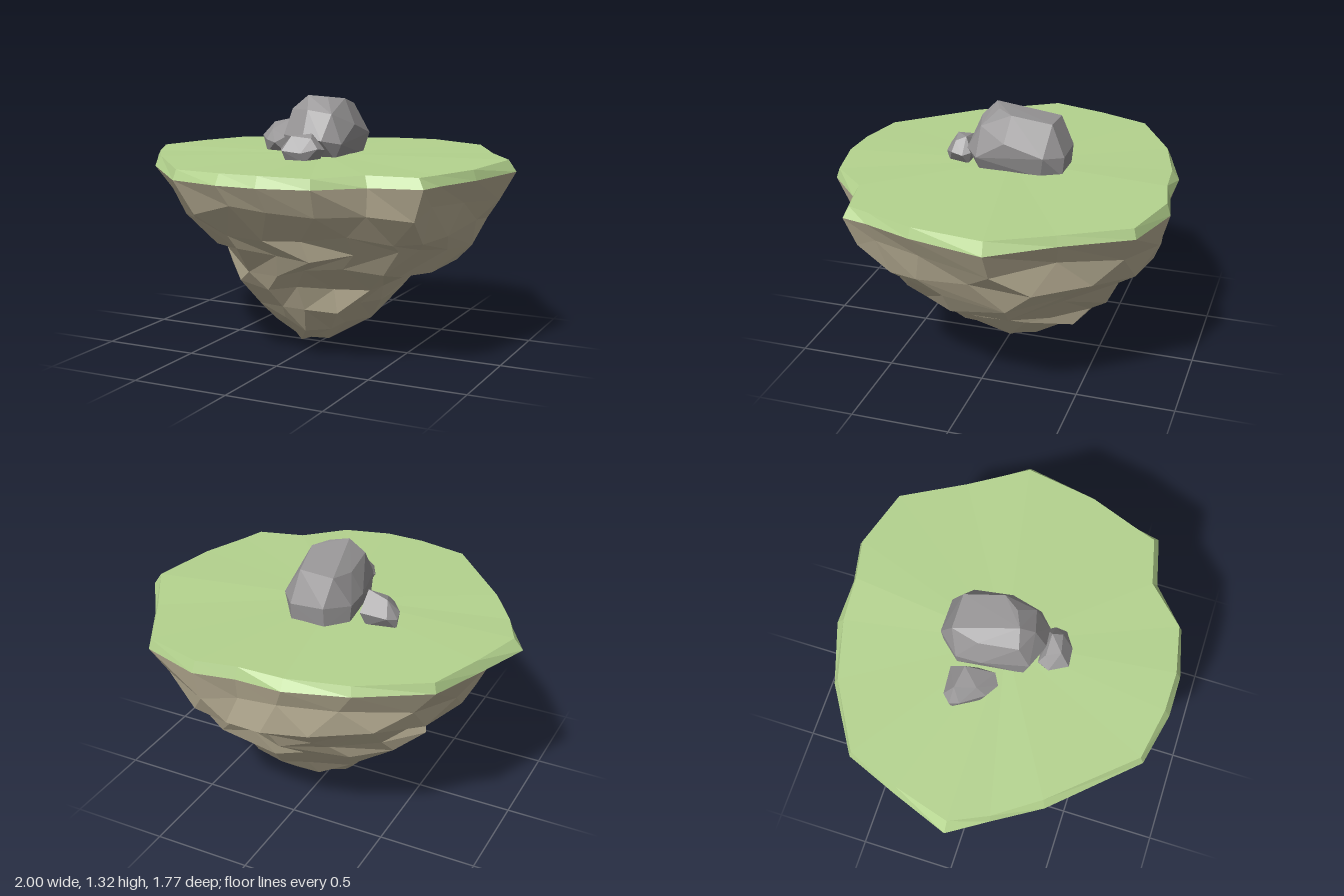
import * as THREE from 'three';
import { ConvexGeometry } from 'three/addons/geometries/ConvexGeometry.js';

// Island edge as x, z pairs, clockwise seen from above
const EDGE = [
  [-1, 0.01], [-0.89, -0.28], [-0.78, -0.55], [-0.45, -0.75], [-0.14, -0.85], [0.1, -0.85], [0.31, -0.89],
  [0.62, -0.79], [0.8, -0.47], [1, -0.18], [0.92, 0.2], [0.83, 0.45], [0.8, 0.58], [0.55, 0.64],
  [0.35, 0.82], [0.1, 0.88], [-0.11, 0.88], [-0.38, 0.82], [-0.74, 0.43], [-0.88, 0.2],
];

// Underside sections: height, x min, x max, z min, z max, corner count
const SECTIONS = [
  [0.82, -0.86, 0.92, -0.85, 0.83, 20],
  [0.69, -0.82, 0.87, -0.82, 0.69, 20],
  [0.59, -0.66, 0.78, -0.72, 0.62, 18],
  [0.49, -0.56, 0.69, -0.64, 0.56, 17],
  [0.38, -0.53, 0.51, -0.57, 0.44, 15],
  [0.27, -0.36, 0.41, -0.46, 0.4, 13],
  [0.17, -0.25, 0.26, -0.36, 0.31, 11],
  [0.05, -0.16, 0.06, -0.18, 0.11, 7],
];

function seeded(seed) {
  return () => {
    seed = (seed * 16807) % 2147483647;
    return seed / 2147483647;
  };
}

// Point on the edge at t (0 to 1), half rounded towards a unit circle
function roundedEdgeAt(t) {
  const u = (t % 1) * EDGE.length;
  const i = Math.floor(u);
  const a = EDGE[i], b = EDGE[(i + 1) % EDGE.length], f = u - i;
  const x = a[0] + (b[0] - a[0]) * f, z = (a[1] + (b[1] - a[1]) * f) / 0.885;
  const k = 0.5 + 0.5 / Math.hypot(x, z);
  return [x * k, z * k];
}

// Stitch two closed rings that may have different corner counts
function stitch(out, upper, lower) {
  const n = upper.length, m = lower.length;
  let i = 0, j = 0;
  while (i < n || j < m) {
    const U = upper[i % n], L = lower[j % m];
    if (j >= m || (i < n && (i + 1) / n <= (j + 1) / m)) {
      out.push(U, upper[(i + 1) % n], L);
      i++;
    } else {
      out.push(U, lower[(j + 1) % m], L);
      j++;
    }
  }
}

function facets(name, corners, material) {
  const geometry = new THREE.BufferGeometry().setFromPoints(corners);
  geometry.computeVertexNormals();
  const mesh = new THREE.Mesh(geometry, material);
  mesh.name = name;
  return mesh;
}

function boulder(name, points, material) {
  const mesh = new THREE.Mesh(new ConvexGeometry(points.map((p) => new THREE.Vector3(...p))), material);
  mesh.name = name;
  return mesh;
}

export function createModel() {
  const grass = new THREE.MeshStandardMaterial({ name: 'grass green', color: 0xb4d38e });
  const earth = new THREE.MeshStandardMaterial({ name: 'earth brown', color: 0xbfb59a });
  const stone = new THREE.MeshStandardMaterial({ name: 'stone grey', color: 0x979596 });
  const group = new THREE.Group();
  group.name = 'floatingIsland';
  const rand = seeded(4711);

  // Grass slab: sloping rim and a barely domed top
  const rim = EDGE.map(([x, z]) => new THREE.Vector3(x, 0.955, z));
  const lip = EDGE.map(([x, z]) => {
    const s = 0.95 + rand() * 0.04;
    return new THREE.Vector3(x * s, 1 + rand() * 0.015, z * s);
  });
  const turf = [];
  stitch(turf, lip, rim);
  const crown = new THREE.Vector3(0, 1.015, 0);
  lip.forEach((p, i) => turf.push(crown, lip[(i + 1) % lip.length], p));
  group.add(facets('grassTop', turf, grass));

  // Craggy underside tapering to a tip
  const rings = SECTIONS.map(([y, x0, x1, z0, z1, n], k) => Array.from({ length: n }, (_, i) => {
    const [ex, ez] = roundedEdgeAt((i + (k % 2) * 0.5) / n);
    const s = k < 2 ? 1.02 - rand() * 0.05 : 1.04 - rand() * 0.12;
    return new THREE.Vector3(
      (x0 + x1) / 2 + ex * s * (x1 - x0) / 2,
      y + (rand() - 0.5) * 0.07,
      (z0 + z1) / 2 + ez * s * (z1 - z0) / 2,
    );
  }));
  const crag = [];
  [rim, ...rings].forEach((ring, k) => {
    if (k < rings.length) stitch(crag, ring, rings[k]);
  });
  const last = rings[rings.length - 1];
  const tip = new THREE.Vector3(-0.08, 0, -0.05);
  last.forEach((p, i) => crag.push(p, last[(i + 1) % last.length], tip));
  group.add(facets('rockUnderside', crag, earth));

  // Boulders resting on the grass
  group.add(boulder('largeBoulder', [
    [-0.17, 1, -0.2], [-0.08, 1, -0.3], [0.1, 1, -0.3], [0.15, 1, -0.2], [0.14, 1, 0.12], [-0.13, 1, 0.13],
    [-0.18, 1.1, -0.2], [-0.08, 1.11, -0.31], [0.1, 1.1, -0.31], [0.18, 1.11, -0.22],
    [0.185, 1.17, -0.02], [0.18, 1.08, 0.13], [0.1, 1.1, 0.2], [0, 1.11, 0.21],
    [-0.13, 1.12, 0.16], [-0.18, 1.11, -0.07], [-0.13, 1.23, -0.1], [-0.1, 1.25, -0.24],
    [0.08, 1.26, -0.24], [0.12, 1.3, -0.04], [-0.03, 1.32, 0.08], [0.06, 1.31, 0.04],
    [-0.11, 1.25, 0.1], [0.12, 1.23, 0.12], [0, 1.25, 0.15],
  ], stone));
  group.add(boulder('sideBoulder', [
    [-0.4, 1, -0.15], [-0.25, 1, -0.18], [-0.2, 1, 0], [-0.33, 1, -0.03],
    [-0.41, 1.06, -0.16], [-0.37, 1.07, -0.2], [-0.23, 1.08, -0.21], [-0.19, 1.06, -0.08],
    [-0.2, 1.09, 0.01], [-0.25, 1.06, 0.04], [-0.32, 1.07, 0], [-0.4, 1.08, -0.11],
    [-0.35, 1.15, -0.15], [-0.24, 1.175, -0.13], [-0.22, 1.13, -0.06], [-0.31, 1.12, -0.05],
  ], stone));
  group.add(boulder('frontBoulder', [
    [-0.06, 1, 0.2], [0.09, 1, 0.2], [0.06, 1, 0.31], [-0.04, 1, 0.31],
    [-0.1, 1.06, 0.25], [-0.08, 1.08, 0.19], [0.1, 1.07, 0.18], [0.13, 1.06, 0.22],
    [0.12, 1.07, 0.28], [0.05, 1.05, 0.33], [-0.05, 1.06, 0.34],
    [-0.05, 1.12, 0.22], [0.06, 1.14, 0.22], [0.08, 1.12, 0.27], [-0.02, 1.13, 0.29],
  ], stone));
  return group;
}
